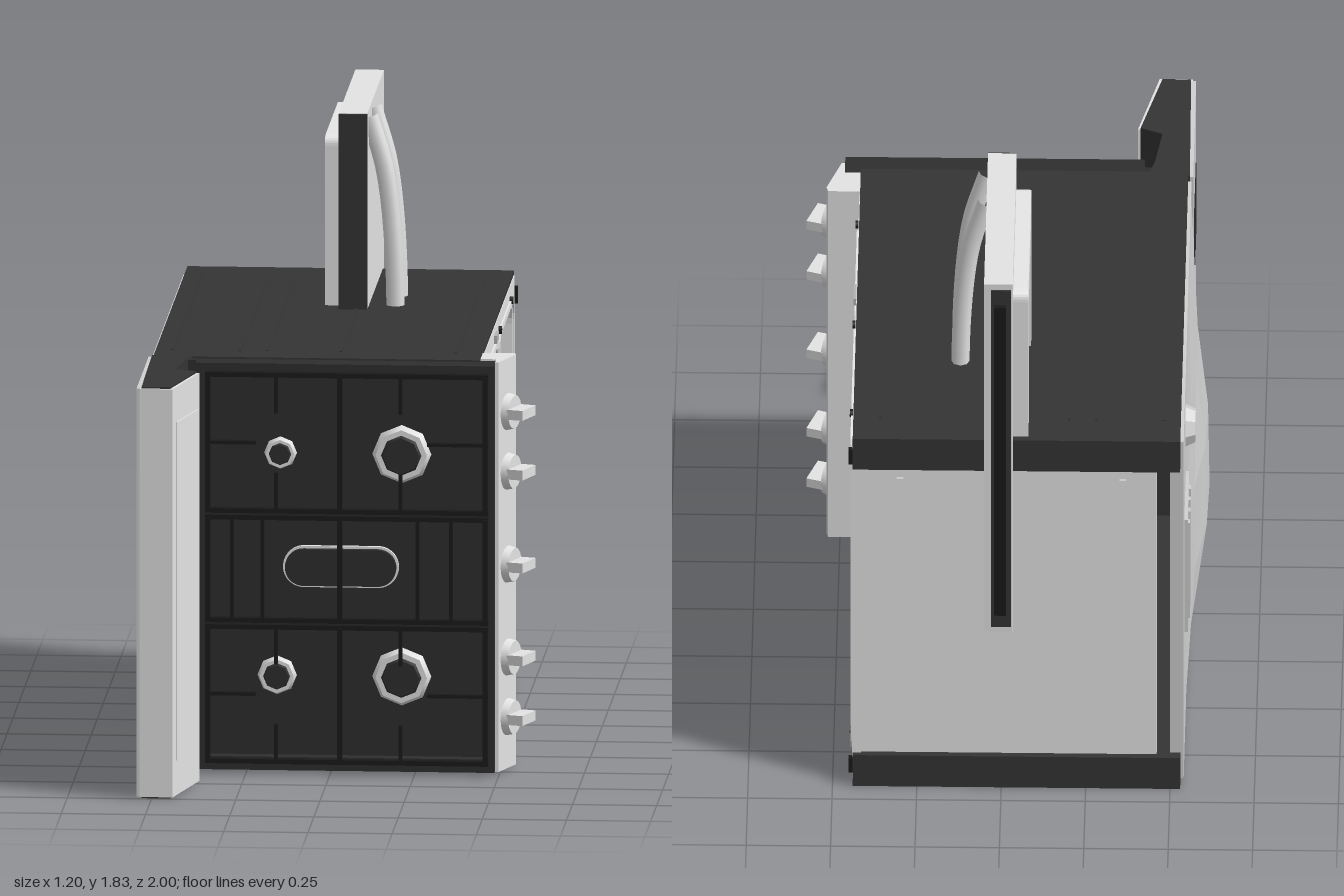
import * as THREE from 'three';

const mat = (name, color, extra = {}) => {
  const m = new THREE.MeshStandardMaterial({ color, ...extra });
  m.name = name;
  return m;
};

export function createModel() {
  const root = new THREE.Group();
  root.name = 'range';
  const steel = mat('brushed steel', 0xe4e4e4);
  const liner = mat('pale oven enamel', 0xf4f4f4);
  const dark = mat('dark side enamel', 0x343434);
  const hob = mat('cooktop enamel', 0x2e2e2e);
  const black = mat('black iron', 0x1a1a1a);
  const rear = mat('rear sheet metal', 0xd0d0d0, { flatShading: true, side: THREE.DoubleSide });
  const chrome = mat('rack wire', 0xb4b4b4);

  const add = (name, geo, material, parent = root) => {
    const m = new THREE.Mesh(geo, material);
    m.name = name;
    parent.add(m);
    return m;
  };
  // box given by its limits on each axis
  const box = (name, material, x0, x1, y0, y1, z0, z1) => {
    const m = add(name, new THREE.BoxGeometry(x1 - x0, y1 - y0, z1 - z0), material);
    m.position.set((x0 + x1) / 2, (y0 + y1) / 2, (z0 + z1) / 2);
    return m;
  };
  // section of [x, z] points extruded from y0 to y1
  const prism = (name, material, pts, y0, y1) => {
    const s = new THREE.Shape(pts.map(([x, z]) => new THREE.Vector2(x, -z)));
    const g = new THREE.ExtrudeGeometry(s, { depth: y1 - y0, bevelEnabled: false });
    g.rotateX(-Math.PI / 2).translate(0, y0, 0);
    return add(name, g, material);
  };
  // rounded rectangle in the z-y plane
  const rounded = (z0, z1, y0, y1, r, Kind = THREE.Shape) => {
    const a = -z1, b = -z0, p = new Kind();
    p.moveTo(a + r, y0).lineTo(b - r, y0).quadraticCurveTo(b, y0, b, y0 + r);
    p.lineTo(b, y1 - r).quadraticCurveTo(b, y1, b - r, y1);
    p.lineTo(a + r, y1).quadraticCurveTo(a, y1, a, y1 - r);
    p.lineTo(a, y0 + r).quadraticCurveTo(a, y0, a + r, y0);
    return p;
  };
  // plate facing +x with rounded holes
  const plate = (name, material, outer, holes, x0, x1) => {
    const s = rounded(...outer);
    holes.forEach(h => s.holes.push(rounded(...h, THREE.Path)));
    const g = new THREE.ExtrudeGeometry(s, { depth: x1 - x0, bevelEnabled: false, curveSegments: 6 });
    g.rotateY(Math.PI / 2).translate(x0, 0, 0);
    return add(name, g, material);
  };
  const rod = (name, material, pts, r, sides = 6, seg = 1) => {
    const v = pts.map(p => new THREE.Vector3(...p));
    const c = v.length === 2 ? new THREE.LineCurve3(...v) : new THREE.CatmullRomCurve3(v);
    return add(name, new THREE.TubeGeometry(c, seg, r, sides), material);
  };

  // side panels with their lips around the underside
  box('upperSidePanel', dark, -0.53, 0.44, 1.225, 1.25, -0.93, 0.5);
  box('lowerSidePanel', dark, -0.53, 0.44, 0.01, 0.035, -0.93, 0.5);
  box('upperLip', dark, -0.53, 0.44, 1.14, 1.23, -0.93, -0.9);
  box('lowerLip', dark, -0.53, 0.44, 0.03, 0.12, -0.93, -0.9);
  for (const x of [-0.48, -0.28, -0.2, 0.02, 0.36])
    box('panelRib', dark, x - 0.004, x + 0.004, 1.25, 1.253, -0.82, 0.4);
  box('underside', liner, -0.46, 0.43, 0.03, 1.23, -0.91, -0.88);
  for (const x of [-0.36, 0.3]) box('undersideRib', liner, x - 0.01, x + 0.01, 0.16, 1.1, -0.915, -0.91);

  // oven front frame and raised rims
  const A = [-0.13, 0.28, 0.1, 1.16, 0.05], B = [-0.82, -0.25, 0.09, 1.17, 0.06];
  plate('ovenFrame', liner, [-0.915, 0.4, 0.022, 1.24, 0.005], [A, B], 0.415, 0.442);
  for (const [z0, z1, y0, y1, r] of [A, B])
    plate('openingRim', liner, [z0 - 0.025, z1 + 0.025, y0 - 0.03, y1 + 0.03, r + 0.015],
      [[z0 - 0.01, z1 + 0.01, y0 - 0.012, y1 + 0.012, r]], 0.442, 0.448);

  // oven cavities with racks
  for (const [z0, z1, y0, y1] of [A, B]) {
    box('cavityBack', liner, -0.42, -0.4, y0, y1, z0, z1);
    box('cavityWall', liner, -0.42, 0.42, y0 - 0.02, y0, z0, z1);
    box('cavityWall', liner, -0.42, 0.42, y1, y1 + 0.02, z0, z1);
    box('cavityFloor', liner, -0.42, 0.42, y0 - 0.02, y1 + 0.02, z0 - 0.02, z0);
    box('cavityRoof', liner, -0.42, 0.42, y0 - 0.02, y1 + 0.02, z1, z1 + 0.02);
  }
  for (const z of [0.12, -0.37, -0.58]) {
    for (let i = 0; i <= 16; i++) {
      const y = 0.14 + i * 0.061;
      rod('rackWire', chrome, [[-0.36, y, z], [0.4, y, z]], 0.004, 5);
    }
    for (const x of [-0.36, 0, 0.4]) rod('rackRail', chrome, [[x, 0.12, z], [x, 1.14, z]], 0.007);
  }
  rod('lowerElement', dark, [[0.2, 0.43, -0.32], [0.2, 0.32, -0.42], [0.2, 0.25, -0.53], [0.2, 0.24, -0.79]], 0.01, 6, 16);
  rod('upperElement', steel, [[0.2, 0.62, 0.24], [0.2, 1.02, 0.11]], 0.018, 8);
  const fan = add('fanCover', new THREE.CylinderGeometry(0.12, 0.12, 0.03, 20), chrome);
  fan.rotation.z = Math.PI / 2;
  fan.position.set(-0.38, 0.62, -0.52);

  // frame screws, latches and hinges
  for (const [z, y] of [[0.32, 0.07], [0.28, 1.2], [0.33, 0.68], [0.33, 0.56], [-0.2, 0.68],
    [-0.2, 0.56], [-0.22, 0.07], [-0.25, 1.2], [-0.72, 1.2], [-0.72, 0.07]]) {
    const s = add('frameScrew', new THREE.CylinderGeometry(0.012, 0.012, 0.012, 8), black);
    s.rotation.z = Math.PI / 2;
    s.position.set(0.446, y, z);
  }
  for (const y of [0.065, 1.205]) box('latch', chrome, 0.44, 0.451, y - 0.012, y + 0.012, -0.14, -0.06);
  for (const y of [0.08, 1.18]) box('hinge', black, 0.43, 0.452, y - 0.025, y + 0.025, -0.925, -0.908);

  // slanted control panel and knobs
  prism('controlPanel', steel, [[0.43, 0.38], [0.535, 0.38], [0.54, 0.4], [0.497, 0.53], [0.487, 0.53], [0.487, 0.48], [0.43, 0.48]], 0.015, 1.25);
  for (const y of [1.09, 0.91, 0.63, 0.35, 0.17]) {
    const k = new THREE.Group();
    k.name = 'knob';
    const base = add('knobBase', new THREE.CylinderGeometry(0.05, 0.057, 0.03, 20), steel, k);
    base.rotation.z = -Math.PI / 2;
    base.position.x = 0.015;
    const grip = add('knobGrip', new THREE.BoxGeometry(0.05, 0.03, 0.1), steel, k);
    grip.position.x = 0.05;
    k.position.set(0.513, y, 0.46);
    k.rotation.y = -0.33;
    root.add(k);
  }

  // cooktop tray with raised rim
  box('cooktopBase', hob, -0.43, 0.487, 0.02, 1.245, 0.48, 0.53);
  box('cooktopRim', hob, -0.4, -0.36, 0.02, 1.245, 0.53, 0.57);
  box('cooktopRim', hob, 0.455, 0.487, 0.02, 1.245, 0.53, 0.57);
  for (const y of [0.02, 1.205]) box('cooktopRim', hob, -0.38, 0.47, y, y + 0.04, 0.53, 0.57);

  // grates: a frame, a centre bar and fingers reaching to the burners
  for (const [y0, y1] of [[0.05, 0.455], [0.475, 0.785], [0.805, 1.215]]) {
    for (const y of [y0, y1]) box('grateBar', black, -0.37, 0.47, y - 0.007, y + 0.007, 0.57, 0.595);
    for (const x of [-0.362, 0.03, 0.462]) box('grateBar', black, x - 0.007, x + 0.007, y0, y1, 0.575, 0.6);
    const mid = (y0 + y1) / 2, outer = y1 - y0 > 0.35;
    if (outer) {
      box('grateFinger', black, -0.37, -0.22, mid - 0.005, mid + 0.005, 0.575, 0.595);
      box('grateFinger', black, 0.29, 0.47, mid - 0.005, mid + 0.005, 0.575, 0.595);
      for (const x of [-0.16, 0.21]) {
        box('grateFinger', black, x - 0.005, x + 0.005, y0, mid - 0.09, 0.575, 0.595);
        box('grateFinger', black, x - 0.005, x + 0.005, mid + 0.09, y1, 0.575, 0.595);
      }
    } else for (const x of [-0.29, -0.2, 0.26, 0.36]) box('grateFinger', black, x - 0.005, x + 0.005, y0, y1, 0.575, 0.595);
  }

  // round burners: steel ring with dark cap
  for (const [x, y, r] of [[-0.15, 0.97, 0.05], [0.21, 0.97, 0.09], [-0.16, 0.3, 0.06], [0.21, 0.3, 0.09]]) {
    const ring = add('burnerRing', new THREE.CylinderGeometry(r * 0.85, r, 0.03, 8), steel);
    const cap = add('burnerCap', new THREE.CylinderGeometry(r * 0.6, r * 0.68, 0.015, 8), hob);
    ring.rotation.x = cap.rotation.x = Math.PI / 2;
    ring.position.set(x, y, 0.54);
    cap.position.set(x, y, 0.56);
  }
  // oval centre burner
  const oval = (name, material, r, half, z0, depth) => {
    const s = new THREE.Shape();
    s.absarc(half, 0, r, -Math.PI / 2, Math.PI / 2);
    s.absarc(-half, 0, r, Math.PI / 2, Math.PI * 1.5);
    add(name, new THREE.ExtrudeGeometry(s, { depth, bevelEnabled: false }), material).position.set(0.03, 0.63, z0);
  };
  oval('ovalBurner', steel, 0.062, 0.11, 0.53, 0.014);
  oval('ovalBurnerCap', hob, 0.055, 0.11, 0.544, 0.02);

  // backguard with slanted steel face
  prism('backguardBody', dark, [[-0.535, 0.48], [-0.41, 0.48], [-0.43, 0.55], [-0.45, 0.7], [-0.385, 0.73],
    [-0.445, 0.99], [-0.53, 0.99]], 0.01, 1.25);
  prism('backguardFace', steel, [[-0.385, 0.73], [-0.377, 0.73], [-0.437, 0.998], [-0.535, 0.998], [-0.535, 0.99], [-0.445, 0.99]], 0.015, 1.245);
  prism('backguardInset', steel, [[-0.382, 0.75], [-0.376, 0.75], [-0.426, 0.965], [-0.433, 0.965]], 0.12, 1.14);

  // rear sheet with dented cover, wiring box and vents
  box('rearPanel', rear, -0.54, -0.5, 0.03, 1.23, -0.9, 0.5);
  box('rearPanelTop', rear, -0.545, -0.53, 0.015, 1.245, 0.48, 0.99);
  const dent = new THREE.PlaneGeometry(0.88, 1.12, 4, 4);
  const p = dent.attributes.position;
  for (let i = 0; i < p.count; i++) {
    const u = p.getX(i) / 0.44, v = p.getY(i) / 0.56;
    p.setZ(i, 0.048 * (1 - u * u) * (1 - v * v) * (1 - 0.9 * v) * (1 + 0.9 * u));
  }
  dent.rotateY(-Math.PI / 2);
  add('rearCover', dent, rear).position.set(-0.541, 0.61, 0);
  box('wiringBox', rear, -0.55, -0.53, 0.47, 0.87, -0.78, -0.52);
  for (let i = 0; i < 4; i++) box('wiringBoxRib', rear, -0.556, -0.55, 0.5, 0.84, -0.75 + i * 0.06, -0.73 + i * 0.06);
  const fitting = add('gasFitting', new THREE.CylinderGeometry(0.05, 0.07, 0.04, 8), rear);
  fitting.rotation.z = Math.PI / 2;
  fitting.position.set(-0.55, 1.06, -0.56);
  for (const y of [0.25, 0.85]) for (let i = 0; i < 4; i++)
    box('ventSlot', dark, -0.549, -0.54, y, y + 0.2, 0.6 + i * 0.08, 0.606 + i * 0.08);

  // loose oven door standing through the upper side panel
  box('doorSlab', steel, -0.035, 0.05, 0.6, 1.84, -0.98, -0.285);
  box('doorDarkEdge', dark, -0.035, 0.05, 0.6, 1.838, -0.285, -0.279);
  box('doorRearEdge', dark, -0.03, 0.03, 0.62, 1.82, -0.986, -0.98);
  box('doorSeal', black, -0.015, 0.02, 0.67, 1.77, -1.0, -0.985);
  plate('doorInnerFrame', liner, [-0.91, -0.34, 0.66, 1.76, 0.03], [[-0.81, -0.43, 0.74, 1.67, 0.03]], -0.08, -0.035);
  box('doorWindow', black, -0.042, -0.035, 0.7, 1.7, -0.84, -0.4);
  box('windowBar', liner, -0.07, -0.036, 0.74, 1.67, -0.59, -0.52);
  for (const z of [-0.36, -0.51])
    rod('doorHandle', steel, [[0.05, 1.82, z], [0.1, 1.64, z], [0.128, 1.22, z], [0.1, 0.8, z], [0.05, 0.62, z]], 0.027, 8, 24);

  return root;
}
